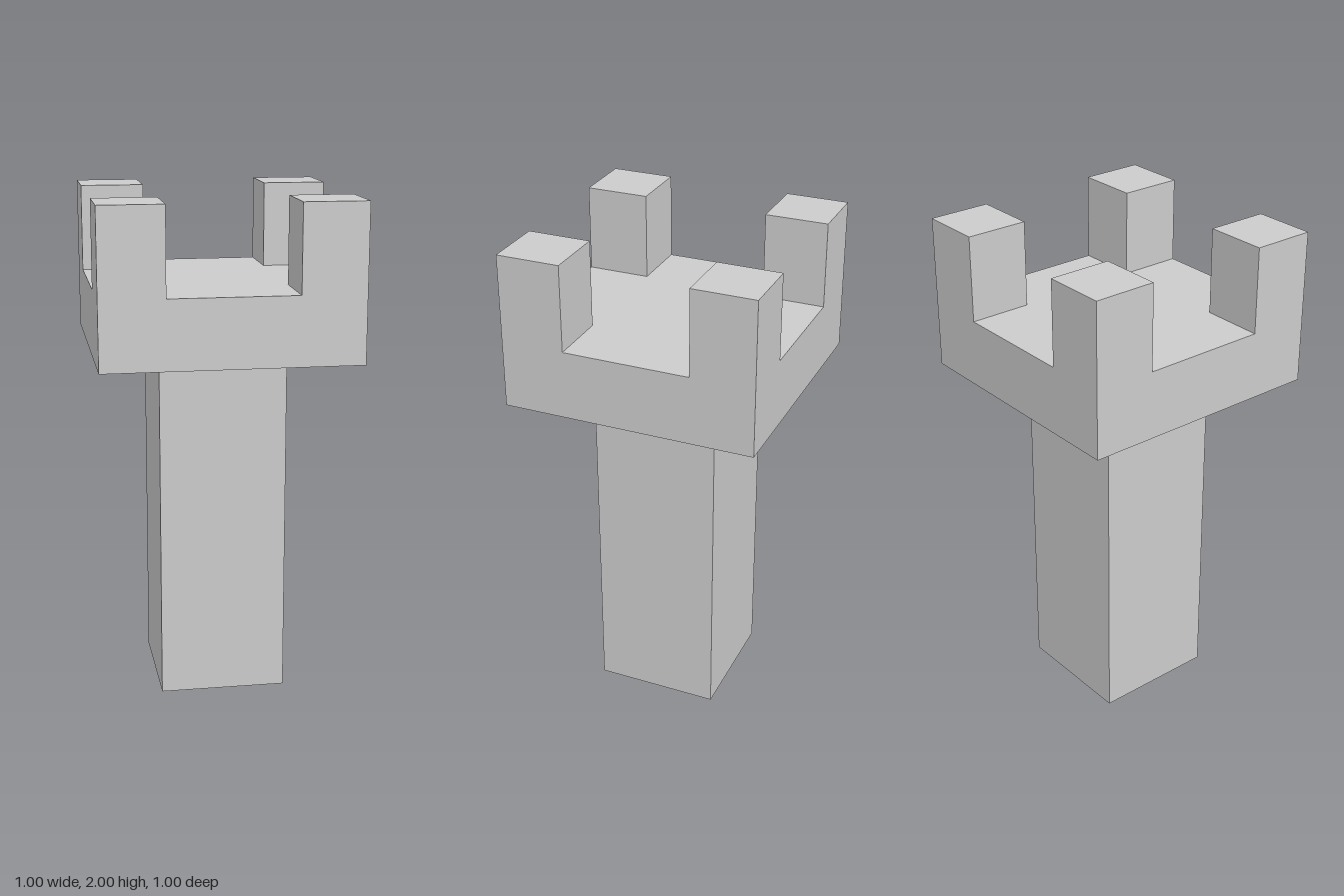
import * as THREE from 'three';

const SHAFT_TOP = 1.39, DECK_TOP = 1.66, TOP = 2;

export function createModel() {
  const model = new THREE.Group();
  model.name = 'tower';
  const material = new THREE.MeshStandardMaterial({ color: 0xcccccc, flatShading: true });

  // Square block standing between two heights
  function addBlock(name, width, bottom, top, x = 0, z = 0) {
    const mesh = new THREE.Mesh(new THREE.BoxGeometry(width, top - bottom, width), material);
    mesh.name = name;
    mesh.position.set(x, (bottom + top) / 2, z);
    model.add(mesh);
  }

  addBlock('shaft', 0.5, 0, SHAFT_TOP);
  addBlock('platform', 1, SHAFT_TOP, DECK_TOP);

  // One merlon on each corner of the platform
  for (const [side, x] of [['Left', 0.375], ['Right', -0.375]]) {
    for (const [end, z] of [['front', 0.375], ['back', -0.375]]) {
      addBlock(`${end}${side}Merlon`, 0.25, DECK_TOP, TOP, x, z);
    }
  }
  return model;
}
